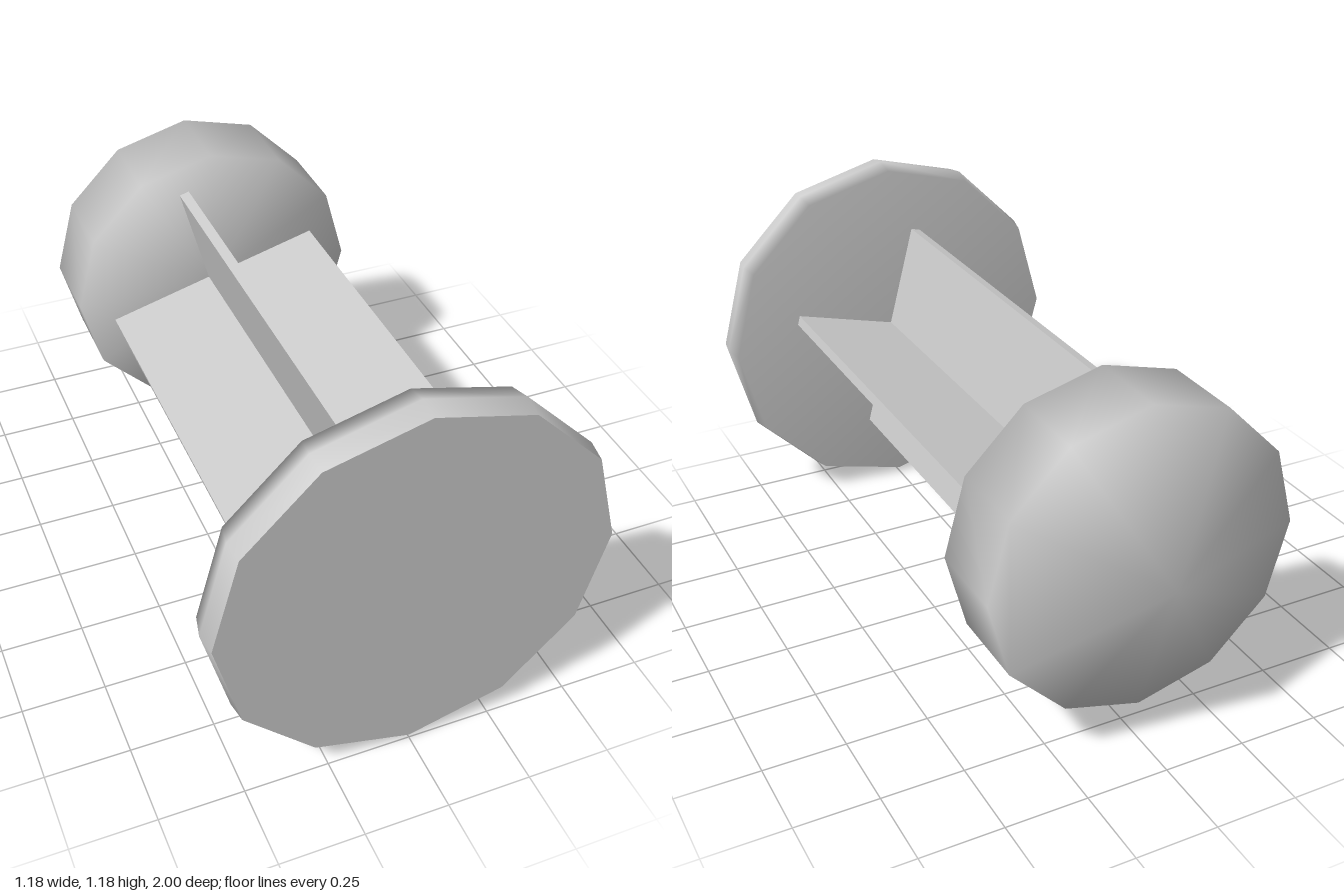
import * as THREE from 'three';

const SIDES = 12;
const CENTRE_Y = 0.59;

export function createModel() {
  const group = new THREE.Group();
  const material = new THREE.MeshStandardMaterial({ color: 0xcccccc });

  function add(name, geometry) {
    const mesh = new THREE.Mesh(geometry, material);
    mesh.name = name;
    mesh.position.y = CENTRE_Y;
    group.add(mesh);
  }

  // Front disc with a softly bevelled rim and a flat face
  const discProfile = [[0, 0.87], [0.575, 0.87], [0.59, 0.935], [0.58, 1]];
  const discPoints = discProfile.map(([r, z]) => new THREE.Vector2(r, z));
  add('frontDisc', new THREE.LatheGeometry(discPoints, SIDES).rotateX(Math.PI / 2));
  add('frontDiscFace', new THREE.CircleGeometry(0.58, SIDES).translate(0, 0, 1));

  // Shaft: four thin plates meeting in a cross, turned 15 degrees
  const tip = 0.364, half = 0.016;
  const outline = [];
  for (let fin = 0; fin < 4; fin++) {
    const a = fin * Math.PI / 2 + Math.PI / 12;
    for (const [u, v] of [[tip, -half], [tip, half], [half, half]]) {
      outline.push(new THREE.Vector2(u, v).rotateAround(new THREE.Vector2(), a));
    }
  }
  const shaft = new THREE.ExtrudeGeometry(new THREE.Shape(outline), { depth: 1.45, bevelEnabled: false });
  add('crossShaft', shaft.translate(0, 0, -0.58));

  // Rear head: smooth-shaded apex, two rings and front centre.
  // The corner at +x is left flat instead of rising to the apex.
  const positions = [0, 0, -1, 0, 0, -0.58];
  for (const z of [-0.84, -0.58]) {
    for (let i = 0; i < SIDES; i++) {
      const a = i * 2 * Math.PI / SIDES;
      positions.push(0.47 * Math.cos(a), 0.47 * Math.sin(a), z);
    }
  }
  const back = (i) => 2 + i % SIDES;
  const front = (i) => 2 + SIDES + i % SIDES;
  const index = [back(0), back(11), back(1), 0, back(1), back(11)];
  for (let i = 0; i < SIDES; i++) {
    if (i > 0 && i < SIDES - 1) index.push(0, back(i + 1), back(i));
    index.push(back(i), back(i + 1), front(i + 1), back(i), front(i + 1), front(i));
    index.push(1, front(i), front(i + 1));
  }
  const head = new THREE.BufferGeometry();
  head.setAttribute('position', new THREE.Float32BufferAttribute(positions, 3));
  head.setIndex(index);
  head.computeVertexNormals();
  add('pointedHead', head);

  return group;
}
